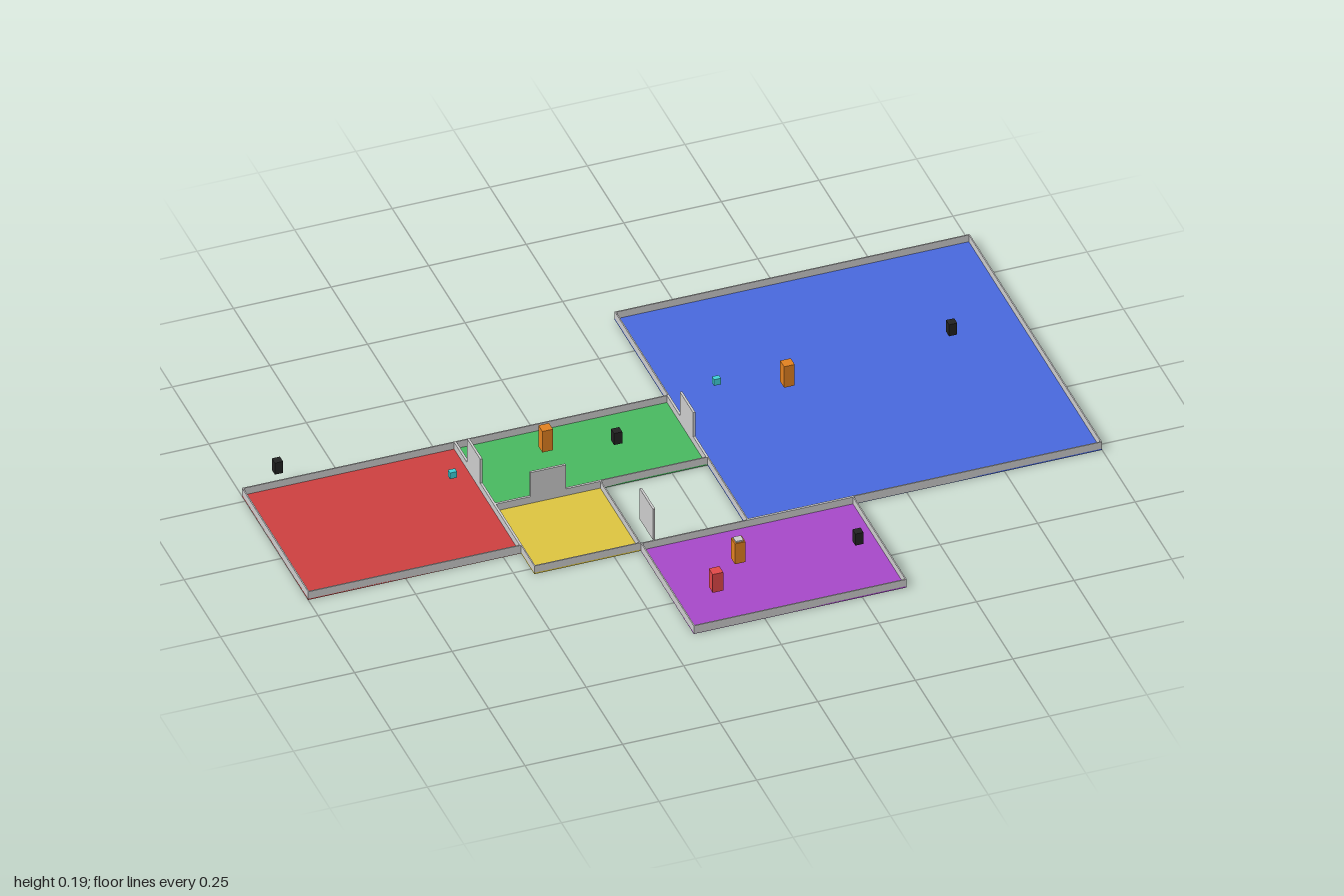
import * as THREE from 'three';

const U = 1 / 11; // one floor tile
const FLOOR = 0.004, WALL_H = 0.024, THIN = 0.003;

function box(parent, name, size, pos, color = 0xcccccc) {
  const mesh = new THREE.Mesh(
    new THREE.BoxGeometry(...size),
    new THREE.MeshStandardMaterial({ color })
  );
  mesh.position.set(...pos);
  mesh.name = name;
  parent.add(mesh);
  return mesh;
}

// a coloured floor surrounded by a low thin wall; bounds in tiles
function room(parent, name, x0, x1, z0, z1, color) {
  const g = new THREE.Group();
  g.name = name;
  const w = (x1 - x0) * U, d = (z1 - z0) * U;
  box(g, 'floor', [w, FLOOR, d], [0, FLOOR / 2, 0], color);
  for (const s of [-1, 1]) {
    const y = WALL_H / 2 + 0.0005, h = WALL_H - 0.001;
    box(g, 'sideWall', [THIN, h, d], [s * (w - THIN) / 2, y, 0]);
    box(g, 'endWall', [w - 2 * THIN, h, THIN], [0, y, s * (d - THIN) / 2]);
  }
  g.position.set((x0 + x1) / 2 * U, 0, (z0 + z1) / 2 * U);
  parent.add(g);
}

export function createModel() {
  const model = new THREE.Group();
  model.name = 'floorPlan';

  // rooms
  room(model, 'redRoom', -11, -5, -3, 2, 0xcc4040);
  room(model, 'greenRoom', -5, 1, -3, 0, 0x48b860);
  room(model, 'yellowRoom', -5, -2, 0, 3, 0xdcc440);
  room(model, 'purpleRoom', -2, 4, 3, 7, 0xa648c8);
  room(model, 'blueRoom', 1, 11, -7, 3, 0x4868dc);

  // doors: x, z, base height, turned to face x
  const doors = [
    [-5, -1.5, 0, true], [1, -1.5, 0, true],
    [-3.5, 0, 0, false], [-2, 3.5, 1, true]
  ];
  for (const [x, z, base, turned] of doors) {
    const door = box(model, 'door', [U, U, 0.006], [x * U, FLOOR + (base + 0.5) * U, z * U]);
    if (turned) door.rotation.y = Math.PI / 2;
  }

  // tall orange and red figures: x, z, top, colour
  const figures = [
    [-3, -1.5, 0.112, 0xe08020], [4, -2, 0.112, 0xe08020],
    [0, 5, 0.11, 0xe08020], [-1, 6, 0.104, 0xe04848]
  ];
  for (const [x, z, top, color] of figures) {
    const h = top - 0.05;
    box(model, 'figure', [0.027, h, 0.027], [x * U, 0.05 + h / 2, z * U], color);
  }
  box(model, 'figureCap', [0.02, 0.004, 0.02], [0, 0.112, 5 * U]);

  // small dark figures: x, z, base height
  const dark = [[-10, -3, 0.05], [-1, -1.5, 0.023], [9, -3, 0.023], [3, 6, 0.095]];
  for (const [x, z, y] of dark) {
    box(model, 'darkFigure', [0.021, 0.034, 0.021], [x * U, y + 0.017, z * U], 0x222222);
  }

  // small cyan tokens
  for (const [x, z] of [[-6, -0.5], [2, -2]]) {
    box(model, 'token', [0.018, 0.018, 0.014], [x * U, 0.105, z * U], 0x40d0d8);
  }
  return model;
}
